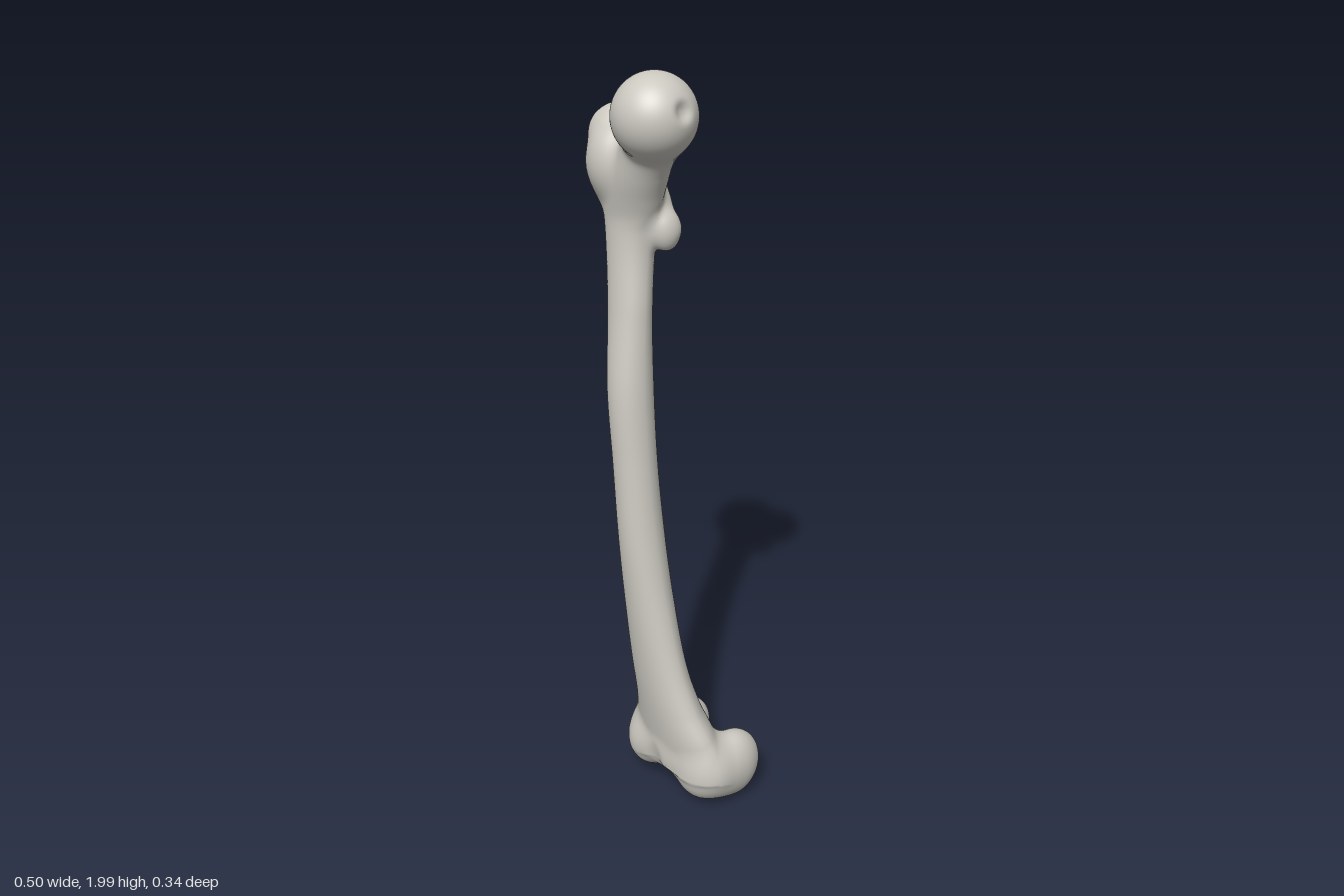
import * as THREE from 'three';

const BLEND = 0.035; // fillet size where parts meet
const CARVE = 0.02;  // softness of hollows

// Shaft cross-sections: y, then x from/to and z from/to
const sections = [
  [0.12, -0.09, 0.21, -0.05, 0.08],
  [0.20, -0.09, 0.215, -0.06, 0.092],
  [0.30, -0.066, 0.168, -0.03, 0.105],
  [0.40, -0.065, 0.13, -0.01, 0.115],
  [0.60, -0.07, 0.08, 0.005, 0.13],
  [0.80, -0.077, 0.045, 0.015, 0.14],
  [1.00, -0.093, 0.02, 0.02, 0.14],
  [1.20, -0.115, 0.0, 0.015, 0.138],
  [1.40, -0.142, -0.02, 0.003, 0.112],
  [1.60, -0.182, -0.03, -0.025, 0.092],
  [1.68, -0.207, -0.005, -0.03, 0.09],
  [1.76, -0.222, 0.0, -0.03, 0.085],
  [1.82, -0.15, -0.02, 0.0, 0.06],
];
const Y0 = sections[0][0];
const Y1 = sections[sections.length - 1][0];
const spline = new THREE.CubicInterpolant(
  sections.map((s) => s[0]), sections.flatMap((s) => s.slice(1)), 4);

function sectionAt(y) {
  const [x0, x1, z0, z1] = spline.evaluate(THREE.MathUtils.clamp(y, Y0, Y1));
  return { cx: (x0 + x1) / 2, cz: (z0 + z1) / 2, rx: (x1 - x0) / 2, rz: (z1 - z0) / 2 };
}

// Shaft: oval in front, drawn to a soft ridge behind
function makeShaft() {
  const geometry = new THREE.CylinderGeometry(1, 1, Y1 - Y0, 64, 180);
  geometry.translate(0, (Y0 + Y1) / 2, 0);
  const p = geometry.attributes.position;
  for (let i = 0; i < p.count; i++) {
    const s = sectionAt(p.getY(i));
    p.setX(i, s.cx + p.getX(i) * s.rx);
    p.setZ(i, s.cz + p.getZ(i) * s.rz);
  }
  const distance = (x, y, z) => {
    const s = sectionAt(y);
    const e = z < s.cz ? 1.75 : 2.1;
    const n = (Math.abs((x - s.cx) / s.rx) ** e + Math.abs((z - s.cz) / s.rz) ** e) ** (1 / e);
    return Math.max((n - 1) * Math.min(s.rx, s.rz), Y0 - y, y - Y1);
  };
  return { name: 'shaft', geometry, distance };
}

// Rounded bone mass, optionally turned
function makeMass(name, center, radii, turn = [0, 0, 0]) {
  const m = new THREE.Matrix4().compose(
    new THREE.Vector3(...center),
    new THREE.Quaternion().setFromEuler(new THREE.Euler(...turn)),
    new THREE.Vector3(1, 1, 1));
  const inverse = m.clone().invert();
  const geometry = new THREE.SphereGeometry(1, 72, 48).scale(...radii).applyMatrix4(m);
  const v = new THREE.Vector3();
  const [a, b, c] = radii;
  const distance = (x, y, z) => {
    v.set(x, y, z).applyMatrix4(inverse);
    const k0 = Math.hypot(v.x / a, v.y / b, v.z / c);
    const k1 = Math.hypot(v.x / (a * a), v.y / (b * b), v.z / (c * c));
    return k1 < 1e-6 ? -Math.min(a, b, c) : (k0 * (k0 - 1)) / k1;
  };
  return { name, geometry, distance };
}

function softMin(a, b, k) {
  const h = Math.max(k - Math.abs(a - b), 0) / k;
  return Math.min(a, b) - h * h * k * 0.25;
}

function gradient(field, p, out) {
  const e = 0.0015;
  return out.set(
    field(p.x + e, p.y, p.z) - field(p.x - e, p.y, p.z),
    field(p.x, p.y + e, p.z) - field(p.x, p.y - e, p.z),
    field(p.x, p.y, p.z + e) - field(p.x, p.y, p.z - e)).divideScalar(2 * e);
}

// Move a point onto the zero surface of a field
function settle(field, p, g, steps) {
  for (let i = 0; i < steps; i++) {
    const f = field(p.x, p.y, p.z);
    if (Math.abs(f) < 1e-4) break;
    gradient(field, p, g);
    const step = f / Math.max(g.lengthSq(), 0.1);
    p.addScaledVector(g, -THREE.MathUtils.clamp(step, -0.03, 0.03));
  }
}

export function createModel() {
  const bone = new THREE.MeshStandardMaterial({ color: 0xcbc8c0 });
  bone.name = 'bone';

  const parts = [
    makeShaft(),
    // Upper end
    makeMass('head', [0.03, 1.897, 0.066], [0.103, 0.103, 0.103]),
    makeMass('neck', [-0.03, 1.79, 0.048], [0.07, 0.17, 0.056], [0, 0, -0.577]),
    makeMass('greaterTrochanter', [-0.178, 1.755, 0.015], [0.074, 0.12, 0.08]),
    makeMass('trochanterCrest', [-0.175, 1.822, -0.008], [0.04, 0.062, 0.088], [0, -0.69, 0]),
    makeMass('frontTubercle', [-0.15, 1.755, 0.06], [0.055, 0.075, 0.05]),
    makeMass('backCrest', [-0.08, 1.68, -0.025], [0.025, 0.09, 0.028], [0, 0, 0.64]),
    makeMass('lesserTrochanter', [-0.02, 1.597, -0.01], [0.028, 0.045, 0.035]),
    // Lower end
    makeMass('innerCondyleBack', [0.178, 0.105, -0.078], [0.067, 0.098, 0.092], [0, 0.15, 0]),
    makeMass('innerCondyleFront', [0.155, 0.112, -0.005], [0.088, 0.092, 0.082]),
    makeMass('outerCondyleBack', [-0.037, 0.113, -0.077], [0.062, 0.085, 0.088]),
    makeMass('outerCondyleFront', [-0.035, 0.125, 0.017], [0.072, 0.092, 0.083]),
    makeMass('condyleBridge', [0.05, 0.135, 0.02], [0.1, 0.07, 0.065]),
  ];

  // Hollows cut into the blended surface
  const hollows = [
    makeMass('headPit', [0.136, 1.925, 0.055], [0.02, 0.02, 0.02]),
    makeMass('trochanterFossa', [-0.1, 1.88, -0.035], [0.028, 0.07, 0.035]),
    makeMass('condyleNotch', [0.067, 0.05, -0.12], [0.037, 0.07, 0.085]),
    makeMass('kneeGroove', [0.05, 0.08, 0.13], [0.04, 0.1, 0.048]),
  ];

  const whole = (x, y, z) => {
    let d = 10;
    for (const part of parts) d = softMin(d, part.distance(x, y, z), BLEND);
    for (const h of hollows) d = -softMin(-d, h.distance(x, y, z), CARVE);
    return d;
  };

  const group = new THREE.Group();
  group.name = 'thighBone';
  const p = new THREE.Vector3();
  const g = new THREE.Vector3();

  // Fit every part to the blended surface so the joints run smoothly together
  for (const { name, geometry, distance } of parts) {
    const pos = geometry.attributes.position;
    const nor = geometry.attributes.normal;
    for (let i = 0; i < pos.count; i++) {
      p.fromBufferAttribute(pos, i);
      if (name === 'shaft' && p.y > Y0 + 0.01 && p.y < Y1 - 0.01) settle(distance, p, g, 3);
      if (whole(p.x, p.y, p.z) > -0.9 * BLEND) {
        settle(whole, p, g, 6);
        gradient(whole, p, g).normalize();
        nor.setXYZ(i, g.x, g.y, g.z);
      }
      pos.setXYZ(i, p.x, p.y, p.z);
    }
    const mesh = new THREE.Mesh(geometry, bone);
    mesh.name = name;
    group.add(mesh);
  }
  return group;
}
